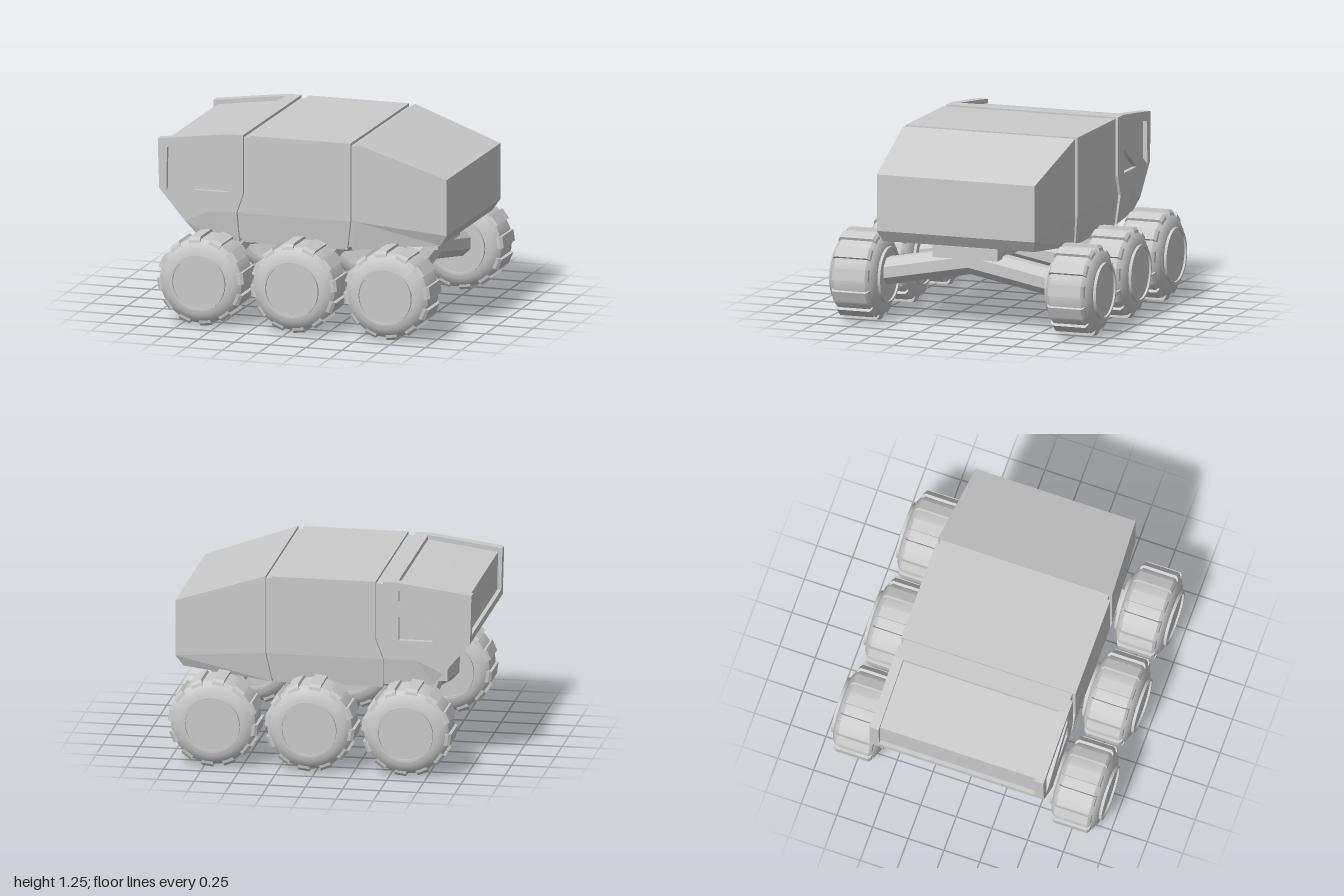
import * as THREE from 'three';
import { toCreasedNormals } from 'three/addons/utils/BufferGeometryUtils.js';

const grey = new THREE.MeshStandardMaterial({ color: 0xcccccc });
const flatGrey = new THREE.MeshStandardMaterial({ color: 0xcccccc, flatShading: true });

function add(parent, name, geometry, material = grey) {
  const mesh = new THREE.Mesh(geometry, material);
  mesh.name = name;
  parent.add(mesh);
  return mesh;
}

// Lofts mirrored cross-sections along x; each station lists [x, y, halfWidth] from top to bottom
function loft(stations) {
  const rings = stations.map(levels => [
    ...levels,
    ...levels.slice().reverse().map(([x, y, w]) => [x, y, -w]),
  ]);
  const pos = [];
  const quad = (a, b, c, d) => pos.push(...a, ...b, ...c, ...a, ...c, ...d);
  const m = rings[0].length;
  for (let s = 0; s < rings.length - 1; s++) {
    const a = rings[s], b = rings[s + 1];
    for (let i = 0; i < m; i++) {
      const j = (i + 1) % m;
      quad(a[i], a[j], b[j], b[i]);
    }
  }
  const first = rings[0], last = rings[rings.length - 1];
  for (let k = 0; k < m / 2 - 1; k++) {
    quad(last[k], last[k + 1], last[m - 2 - k], last[m - 1 - k]);
    quad(first[m - 1 - k], first[m - 2 - k], first[k + 1], first[k]);
  }
  const geo = new THREE.BufferGeometry();
  geo.setAttribute('position', new THREE.Float32BufferAttribute(pos, 3));
  geo.computeVertexNormals();
  return geo;
}

// Extrudes an x-y outline between two z values
function plate(outline, z0, z1, holes = []) {
  const toVectors = pts => pts.map(([x, y]) => new THREE.Vector2(x, y));
  const shape = new THREE.Shape(toVectors(outline));
  shape.holes = holes.map(h => new THREE.Path(toVectors(h)));
  return new THREE.ExtrudeGeometry(shape, { depth: z1 - z0, bevelEnabled: false }).translate(0, 0, z0);
}

function createHull() {
  const hull = new THREE.Group();
  hull.name = 'hull';

  // Sloped nose
  add(hull, 'noseSection', loft([
    [[0.385, 1.25, 0.61], [0.385, 0.72, 0.61], [0.345, 0.52, 0.585]],
    [[1, 1.04, 0.56], [1, 0.66, 0.56], [0.95, 0.585, 0.535]],
  ]));

  // Middle cabin with a kinked rear edge
  add(hull, 'middleSection', loft([
    [[-0.355, 1.25, 0.61], [-0.355, 0.85, 0.61], [-0.405, 0.72, 0.61], [-0.4, 0.52, 0.585]],
    [[0.345, 1.25, 0.61], [0.345, 0.85, 0.61], [0.345, 0.72, 0.61], [0.315, 0.52, 0.585]],
  ]));

  // Inset core seen in the seams between sections
  add(hull, 'seamCore', loft([-0.47, 0.42].map(x => [
    [x, 1.232, 0.588], [x, 0.72, 0.588], [x, 0.535, 0.565],
  ])));

  // Tail: core with recessed roof and rear panel
  add(hull, 'tailCore', plate([
    [-0.405, 1.25], [-0.5, 1.25], [-0.5, 1.22], [-0.74, 1.19], [-0.97, 1.158],
    [-0.965, 0.9], [-0.992, 0.9], [-0.99, 0.85], [-0.81, 0.64], [-0.63, 0.7],
    [-0.45, 0.72], [-0.405, 0.85],
  ], -0.545, 0.545));

  // Tail side walls with recessed windows
  const wall = [
    [-1, 1.185], [-0.99, 0.85], [-0.81, 0.64], [-0.63, 0.72], [-0.45, 0.72],
    [-0.405, 0.85], [-0.405, 1.25], [-0.5, 1.25], [-0.74, 1.22],
  ];
  const windows = [
    [[-0.935, 1.13], [-0.51, 1.195], [-0.51, 1.12], [-0.94, 0.84]],
    [[-0.51, 1.015], [-0.51, 0.855], [-0.745, 0.855]],
  ];
  for (const [side, s] of [['left', 1], ['right', -1]]) {
    const range = (a, b) => (s > 0 ? [a, b] : [-b, -a]);
    add(hull, side === 'left' ? 'nearWallBacking' : 'farWallBacking', plate(wall, ...range(0.545, 0.58)));
    add(hull, side === 'left' ? 'nearWindowWall' : 'farWindowWall', plate(wall, ...range(0.58, 0.61), windows));
  }

  // Tapered tail belly
  add(hull, 'tailBelly', loft([
    [[-0.81, 0.64, 0.61], [-0.74, 0.555, 0.585]],
    [[-0.63, 0.72, 0.61], [-0.61, 0.54, 0.585]],
    [[-0.45, 0.72, 0.61], [-0.44, 0.52, 0.585]],
  ]));
  return hull;
}

function createWheel() {
  const wheel = new THREE.Group();
  wheel.name = 'wheel';

  // Tyre and hub as one turned profile, mirrored about the middle plane
  const half = [
    [0, 0.168], [0.175, 0.168], [0.175, 0.182], [0.19, 0.182], [0.19, 0.163],
    [0.222, 0.158], [0.262, 0.137], [0.285, 0.11],
  ];
  const profile = [...half.map(([r, y]) => [r, -y]), ...half.slice().reverse()]
    .map(([r, y]) => new THREE.Vector2(r, y));
  const tyre = toCreasedNormals(new THREE.LatheGeometry(profile, 36), 0.4);
  add(wheel, 'tyreAndHub', tyre.rotateX(Math.PI / 2));

  // Raised tread blocks
  const block = plate([
    [0.24, -0.138], [0.283, -0.13], [0.301, -0.115],
    [0.301, 0.115], [0.283, 0.13], [0.24, 0.138],
  ], -0.039, 0.039);
  for (let i = 0; i < 12; i++) {
    const geo = block.clone().rotateY(((i + 0.25) / 12) * Math.PI * 2).rotateX(Math.PI / 2);
    add(wheel, 'treadBlock', geo);
  }
  return wheel;
}

// Eight-sided axle beam, bent upwards in the middle
function createAxle() {
  const r = 0.09 / Math.cos(Math.PI / 8);
  const geo = new THREE.CylinderGeometry(r, r, 1.24, 8, 2, false, Math.PI / 8).rotateX(Math.PI / 2);
  const p = geo.attributes.position;
  for (let i = 0; i < p.count; i++) p.setY(i, p.getY(i) - 0.19 * Math.abs(p.getZ(i)));
  geo.computeVertexNormals();
  return geo;
}

export function createModel() {
  const model = new THREE.Group();
  model.name = 'sixWheeledRover';
  model.add(createHull());

  // Spine under the hull carrying the axles
  add(model, 'chassisSpine', new THREE.BoxGeometry(1.6, 0.08, 0.46)).position.set(0.03, 0.517, 0);

  const axle = createAxle();
  const wheel = createWheel();
  for (const x of [-0.61, 0.04, 0.69]) {
    add(model, 'axle', axle, flatGrey).position.set(x, 0.448, 0);
    for (const s of [1, -1]) {
      const w = wheel.clone();
      w.position.set(x, 0.304, 0.765 * s);
      model.add(w);
    }
  }
  return model;
}
